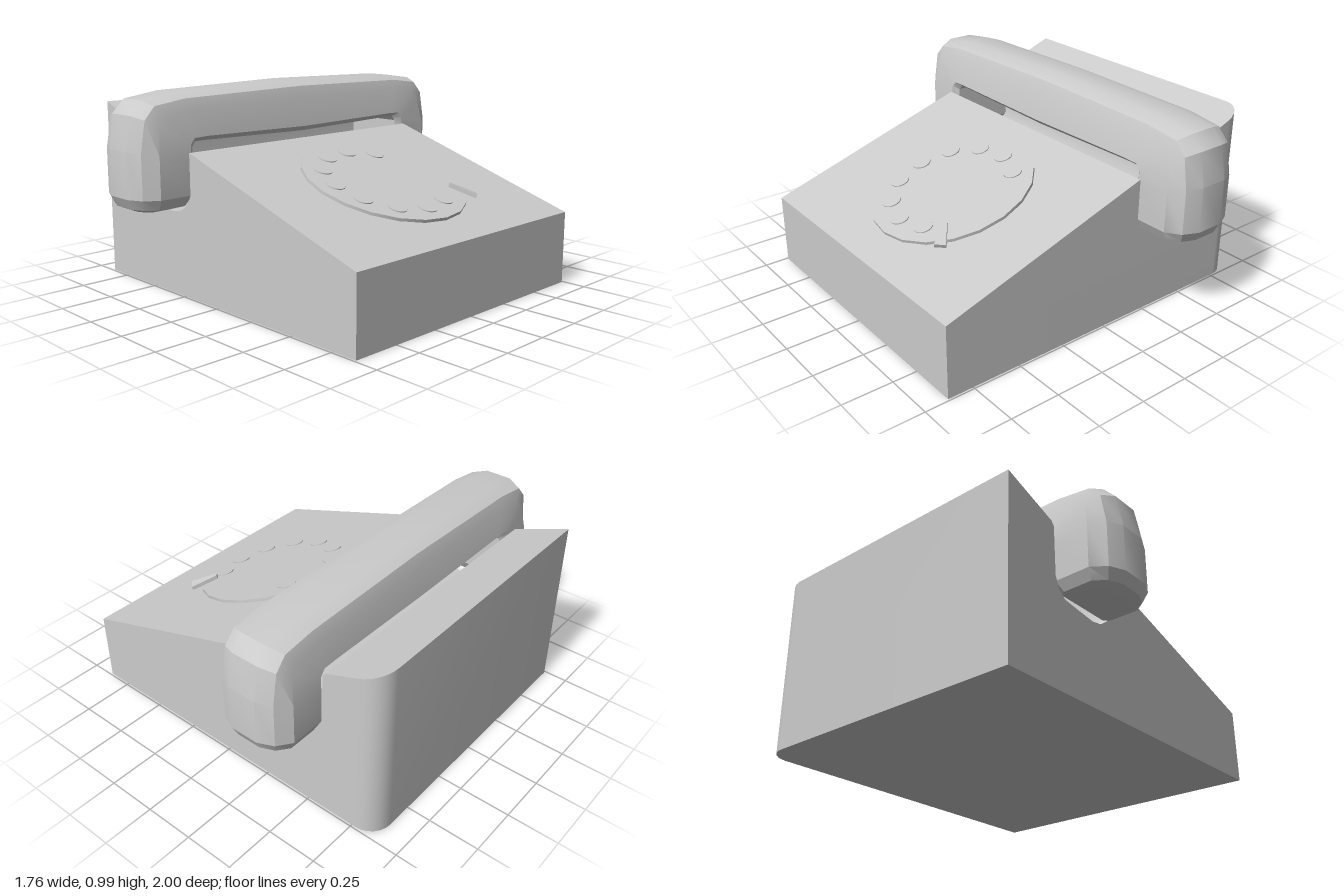
import * as THREE from 'three';
import { toCreasedNormals } from 'three/addons/utils/BufferGeometryUtils.js';

const material = new THREE.MeshStandardMaterial({ color: 0xcccccc });

function addMesh(parent, name, geometry) {
  const mesh = new THREE.Mesh(geometry, material);
  mesh.name = name;
  parent.add(mesh);
  return mesh;
}

// Skin a list of equal-length rings; `section` is the 2D outline used to close both ends
function loft(rings, section, crease) {
  const n = section.length, last = (rings.length - 1) * n, index = [];
  for (let i = 0; i < rings.length - 1; i++) {
    for (let j = 0; j < n; j++) {
      const a = i * n + j, b = i * n + (j + 1) % n;
      index.push(a, a + n, b + n, a, b + n, b);
    }
  }
  const outline = section.map(([x, y]) => new THREE.Vector2(x, y));
  for (const [a, b, c] of THREE.ShapeUtils.triangulateShape(outline, [])) {
    index.push(a, b, c, last + a, last + c, last + b);
  }
  const geometry = new THREE.BufferGeometry();
  geometry.setAttribute('position', new THREE.Float32BufferAttribute(rings.flat(2), 3));
  geometry.setIndex(index);
  return toCreasedNormals(geometry, crease);
}

// Wedge-shaped body with a cradle channel and one rounded upright corner at the back
function bodyGeometry() {
  const section = [
    [-0.88, 0], [0.88, 0], [0.88, 0.36], [-0.19, 0.70],
    [-0.195, 0.5], [-0.22, 0.45], [-0.27, 0.415], [-0.33, 0.405],
    [-0.45, 0.42], [-0.52, 0.43], [-0.56, 0.465], [-0.58, 0.52],
    [-0.585, 0.76], [-0.6, 0.78], [-0.88, 0.885],
  ];
  const radius = 0.11, steps = 6;
  const stations = [[0.74, 0]];
  for (let i = 0; i <= steps; i++) {
    const a = (i / steps) * Math.PI / 2;
    stations.push([-0.74 + radius * (1 - Math.sin(a)), radius * (1 - Math.cos(a))]);
  }
  const rings = stations.map(([z, inset]) => section.map(([x, y]) =>
    x > -0.88 ? [x, y, z] : [x + inset, y > 0 ? y - inset * 0.375 : 0, z]));
  return loft(rings, section, 0.5);
}

// Handset: one faceted section swept from earpiece to mouthpiece
function handsetGeometry() {
  // outer z, outer y, inner z, inner y, half width, shoulder width factor
  const half = [
    [0.93, 0.43, 0.80, 0.43, 0.10, 1],
    [0.975, 0.45, 0.73, 0.45, 0.165, 1],
    [1.0, 0.5, 0.70, 0.5, 0.19, 1],
    [1.0, 0.72, 0.70, 0.66, 0.19, 1],
    [0.97, 0.88, 0.70, 0.72, 0.187, 0.9],
    [0.91, 0.945, 0.68, 0.745, 0.185, 0.86],
    [0.73, 0.97, 0.62, 0.745, 0.185, 0.86],
  ];
  const mirrored = half.map(([oz, oy, iz, iy, w, k]) => [-oz, oy, -iz, iy, w, k]).reverse();
  const stations = [...half, [0, 0.985, 0, 0.73, 0.18, 0.86], ...mirrored];
  const side = [[0.85, -1], [1, -0.9], [1, -0.33], [0.75, -0.11], [0.36, 0]];
  const section = [...side, ...side.map(([x, v]) => [-x, v]).reverse()];
  const rings = stations.map(([oz, oy, iz, iy, w, k]) => section.map(([x, v]) => [
    -0.38 + x * w * (v === -0.33 ? k : 1),
    oy - (iy - oy) * v,
    oz - (iz - oz) * v,
  ]));
  return loft(rings, section, 0.45);
}

// Dial plate with its ring of finger pads, lying on the sloping face
function buildDial() {
  const dial = new THREE.Group();
  dial.name = 'dial';
  dial.position.set(0.33, 0.535, -0.01);
  dial.rotation.z = -Math.atan(0.318);
  const plate = toCreasedNormals(new THREE.CylinderGeometry(0.405, 0.405, 0.03, 20), 0.5);
  addMesh(dial, 'dialPlate', plate);
  const pad = toCreasedNormals(new THREE.CylinderGeometry(0.046, 0.046, 0.012, 16), 0.5);
  for (let i = 0; i < 9; i++) {
    const a = THREE.MathUtils.degToRad(217 - 30.5 * i);
    addMesh(dial, 'fingerPad' + (i + 1), pad)
      .position.set(0.3 * Math.cos(a), 0.014, 0.3 * Math.sin(a));
  }
  return dial;
}

// Small tapered blade, narrow and raised at its inner end
function fingerStopGeometry() {
  const geometry = new THREE.BoxGeometry(0.055, 0.02, 0.14);
  const p = geometry.attributes.position;
  for (let i = 0; i < p.count; i++) {
    if (p.getZ(i) > 0) p.setX(i, p.getX(i) * 0.4);
  }
  geometry.computeVertexNormals();
  return geometry;
}

export function createModel() {
  const model = new THREE.Group();
  model.name = 'telephone';
  addMesh(model, 'body', bodyGeometry());
  addMesh(model, 'handset', handsetGeometry());
  model.add(buildDial());
  const stop = addMesh(model, 'fingerStop', fingerStopGeometry());
  stop.position.set(0.585, 0.492, -0.295);
  stop.lookAt(0.54, 0.518, -0.25);
  return model;
}
